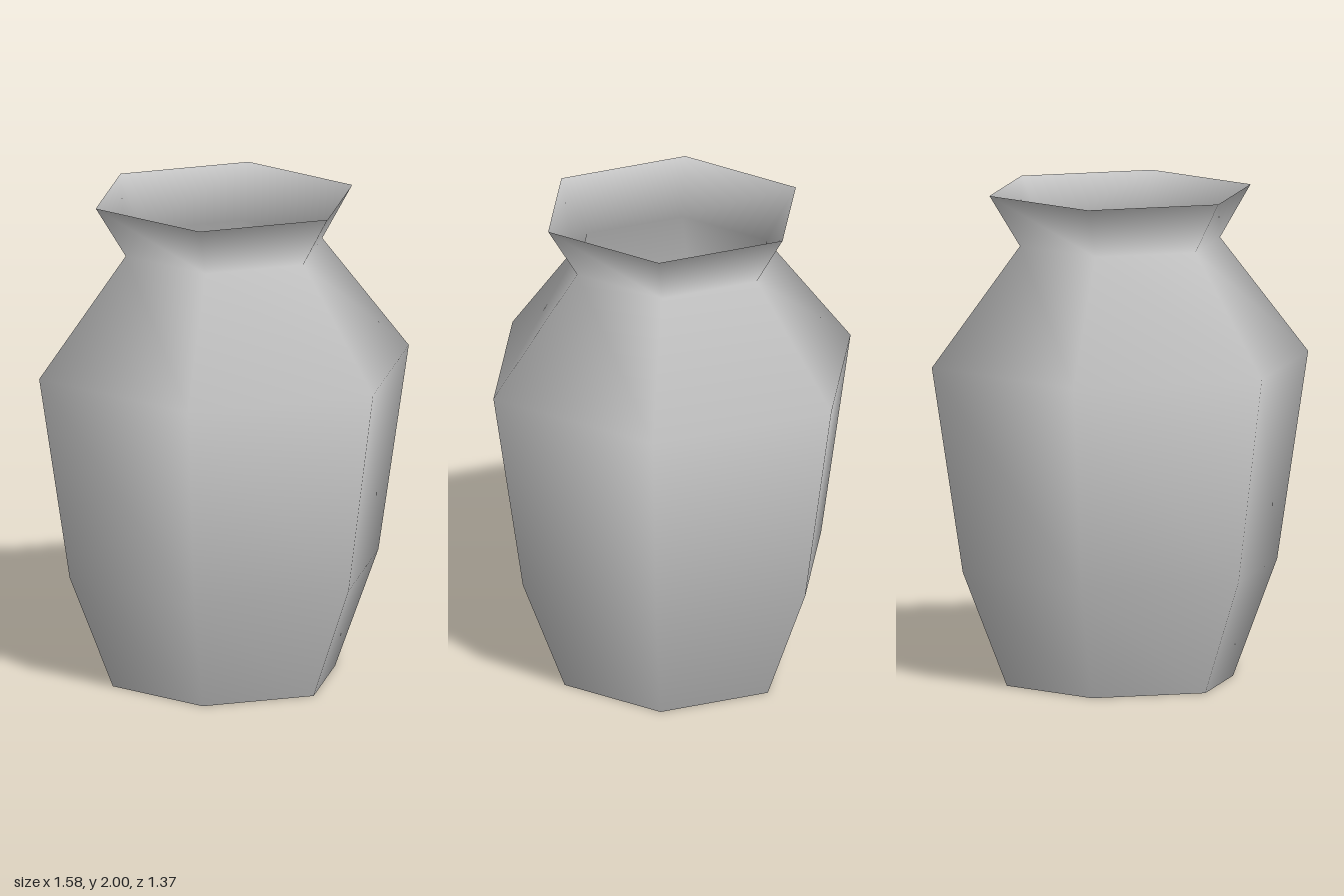
import * as THREE from 'three';

export function createModel() {
  const group = new THREE.Group();
  const clay = new THREE.MeshStandardMaterial({ color: 0xcccccc, side: THREE.DoubleSide });
  clay.name = 'pale grey clay';
  const sides = 6;

  // Thin-walled hexagonal body, foot to flared lip, with smooth normals
  const profile = [[0.475, 0], [0.66, 0.47], [0.79, 1.31], [0.42, 1.79], [0.548, 2]]
    .map(([r, y]) => new THREE.Vector2(r, y));
  const body = new THREE.Mesh(new THREE.LatheGeometry(profile, sides, Math.PI / 2), clay);
  body.name = 'vaseBody';
  group.add(body);

  // Flat floor, seen from below and through the open neck
  const floor = new THREE.Mesh(new THREE.CircleGeometry(0.475, sides).rotateX(Math.PI / 2), clay);
  floor.name = 'vaseFloor';
  group.add(floor);

  return group;
}
